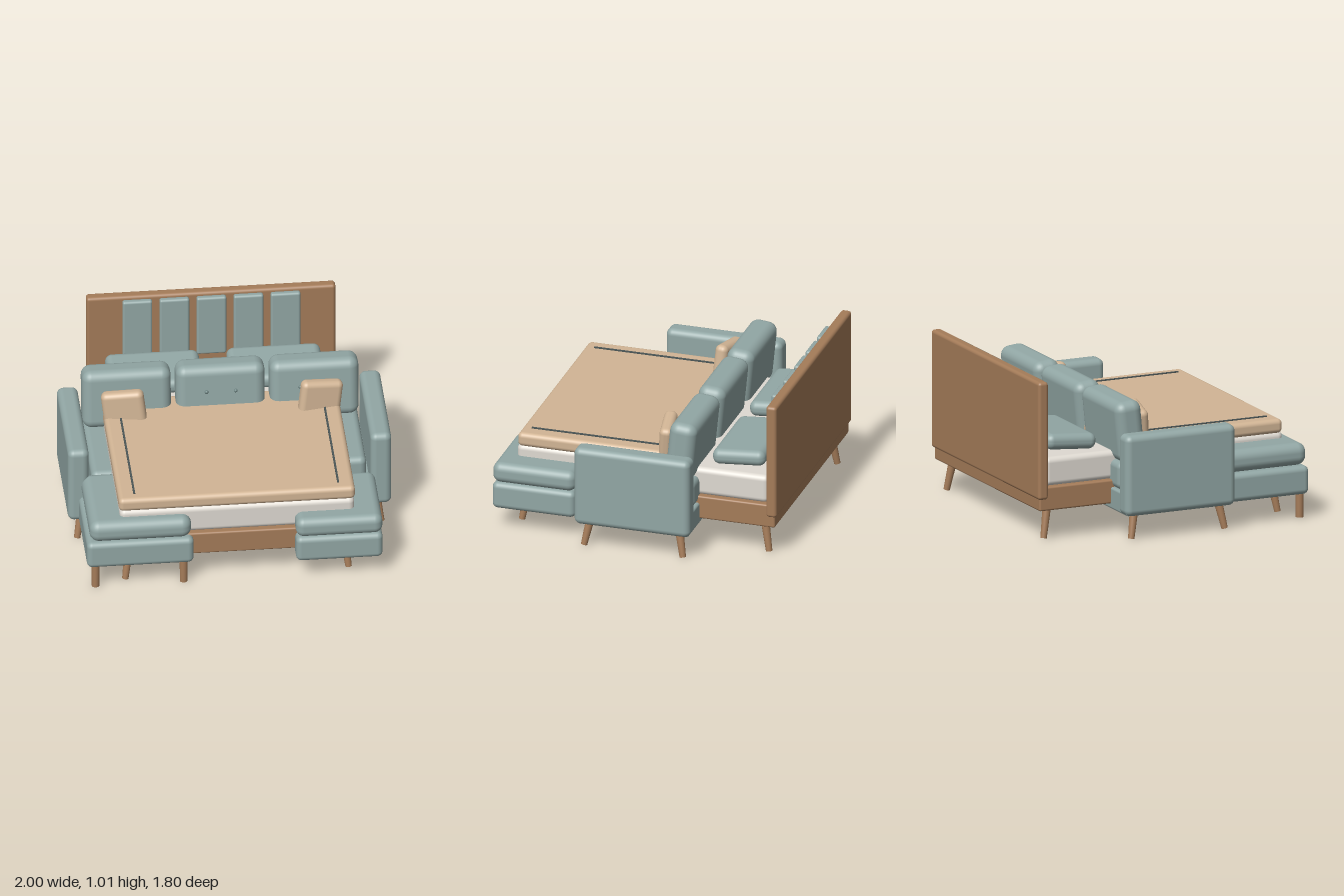
import * as THREE from 'three';
import { RoundedBoxGeometry } from 'three/addons/geometries/RoundedBoxGeometry.js';

const mat = (name, color) => {
  const m = new THREE.MeshStandardMaterial({ color });
  m.name = name;
  return m;
};

export function createModel() {
  const fabric = mat('sage fabric', 0x92a7a5);
  const wood = mat('wood', 0xa57c59);
  const blanketMat = mat('tan blanket', 0xd2b595);
  const sheet = mat('mattress white', 0xdfdad2);
  const dark = mat('dark trim', 0x4c5656);
  const buttonMat = mat('button', 0x6f8684);

  const root = new THREE.Group();
  root.name = 'sofaBed';

  const add = (parent, name, geometry, material) => {
    const mesh = new THREE.Mesh(geometry, material);
    mesh.name = name;
    parent.add(mesh);
    return mesh;
  };
  const group = (name) => {
    const g = new THREE.Group();
    g.name = name;
    root.add(g);
    return g;
  };

  // Rounded block given by its extents on each axis
  const block = (parent, name, [x0, x1], [y0, y1], [z0, z1], radius, material) => {
    const mesh = add(parent, name, new RoundedBoxGeometry(x1 - x0, y1 - y0, z1 - z0, 4, radius), material);
    mesh.position.set((x0 + x1) / 2, (y0 + y1) / 2, (z0 + z1) / 2);
    return mesh;
  };

  // Tapered leg between a top point and a foot point
  const leg = (parent, name, top, foot, rTop = 0.027, rFoot = 0.02) => {
    const a = new THREE.Vector3(...top), b = new THREE.Vector3(...foot);
    const dir = a.clone().sub(b);
    const mesh = add(parent, name, new THREE.CylinderGeometry(rTop, rFoot, dir.length(), 20), wood);
    mesh.position.copy(a).add(b).multiplyScalar(0.5);
    mesh.quaternion.setFromUnitVectors(new THREE.Vector3(0, 1, 0), dir.normalize());
  };

  // Bed: frame, headboard, mattress and blanket
  const bed = group('bed');
  block(bed, 'bedFrame', [-0.75, 0.75], [0.185, 0.335], [-0.885, 0.815], 0.012, wood);
  block(bed, 'headboard', [-0.77, 0.77], [0.26, 1.005], [-0.9, -0.832], 0.02, wood);
  block(bed, 'mattress', [-0.725, 0.725], [0.33, 0.512], [-0.835, 0.79], 0.035, sheet);
  block(bed, 'blanket', [-0.73, 0.73], [0.5, 0.59], [-0.35, 0.785], 0.03, blanketMat);
  for (let i = -2; i <= 2; i++) {
    const x = i * 0.229;
    block(bed, 'headboardPad', [x - 0.092, x + 0.092], [0.57, 0.985], [-0.838, -0.797], 0.015, fabric);
  }
  for (const s of [-1, 1]) {
    const stripe = add(bed, 'blanketStripe', new THREE.BoxGeometry(0.012, 0.008, 0.84), dark);
    stripe.position.set(s * 0.63, 0.593, 0.3);

    const pillow = block(bed, 'sleepingPillow', [-0.29, 0.29], [-0.05, 0.05], [-0.17, 0.17], 0.045, fabric);
    pillow.position.set(s * 0.375, 0.577, -0.617);
    pillow.rotation.x = 0.08;

    leg(bed, 'bedLeg', [s * 0.665, 0.2, 0.73], [s * 0.69, 0, 0.765]);
    leg(bed, 'bedLeg', [s * 0.665, 0.2, -0.795], [s * 0.69, 0, -0.83]);
  }

  // Sofa: base, seat, arms, back cushions
  const sofa = group('sofa');
  block(sofa, 'sofaBase', [-0.98, 0.98], [0.152, 0.29], [-0.4, 0.29], 0.015, fabric);
  for (const s of [-1, 0, 1]) {
    const cx = s * 0.58;
    block(sofa, 'seatCushion', [cx - 0.27, cx + 0.27], [0.285, 0.46], [-0.39, 0.285], 0.04, fabric);

    const back = new THREE.Group();
    back.name = 'backCushion';
    back.position.set(cx, 0.65, -0.302);
    back.rotation.x = -0.1;
    sofa.add(back);
    block(back, 'backPad', [-0.275, 0.275], [-0.2, 0.19], [-0.088, 0.088], 0.06, fabric);
    for (const b of [-1, 1]) {
      const button = add(back, 'cushionButton', new THREE.SphereGeometry(0.012, 14, 10), buttonMat);
      button.position.set(b * 0.09, 0.025, 0.09);
    }
  }
  for (const s of [-1, 1]) {
    block(sofa, 'armrest', [s * 0.935 - 0.065, s * 0.935 + 0.065], [0.15, 0.662], [-0.41, 0.338], 0.04, fabric);
    leg(sofa, 'sofaLeg', [s * 0.91, 0.18, 0.25], [s * 0.94, 0, 0.285]);
    leg(sofa, 'sofaLeg', [s * 0.91, 0.18, -0.318], [s * 0.94, 0, -0.352]);

    // Small throw pillow leaning on the back cushions
    const pillow = block(sofa, 'throwPillow', [-0.132, 0.132], [-0.132, 0.132], [-0.042, 0.042], 0.035, blanketMat);
    pillow.position.set(s * 0.605, 0.63, -0.15);
    pillow.rotation.set(-0.06, s * 0.17, -s * 0.12);
  }

  // Chaise on one side
  const chaise = group('chaise');
  block(chaise, 'chaiseBase', [-0.935, -0.275], [0.15, 0.33], [0.24, 0.87], 0.035, fabric);
  block(chaise, 'chaiseCushion', [-0.917, -0.288], [0.328, 0.47], [0.27, 0.868], 0.06, fabric);
  for (const x of [-0.88, -0.335]) leg(chaise, 'chaiseLeg', [x, 0.17, 0.825], [x, 0, 0.825], 0.025, 0.024);

  // Ottoman on the other side
  const ottoman = group('ottoman');
  block(ottoman, 'ottomanBase', [0.355, 0.89], [0.135, 0.308], [0.365, 0.9], 0.035, fabric);
  block(ottoman, 'ottomanCushion', [0.355, 0.89], [0.306, 0.437], [0.365, 0.9], 0.05, fabric);

  return root;
}
